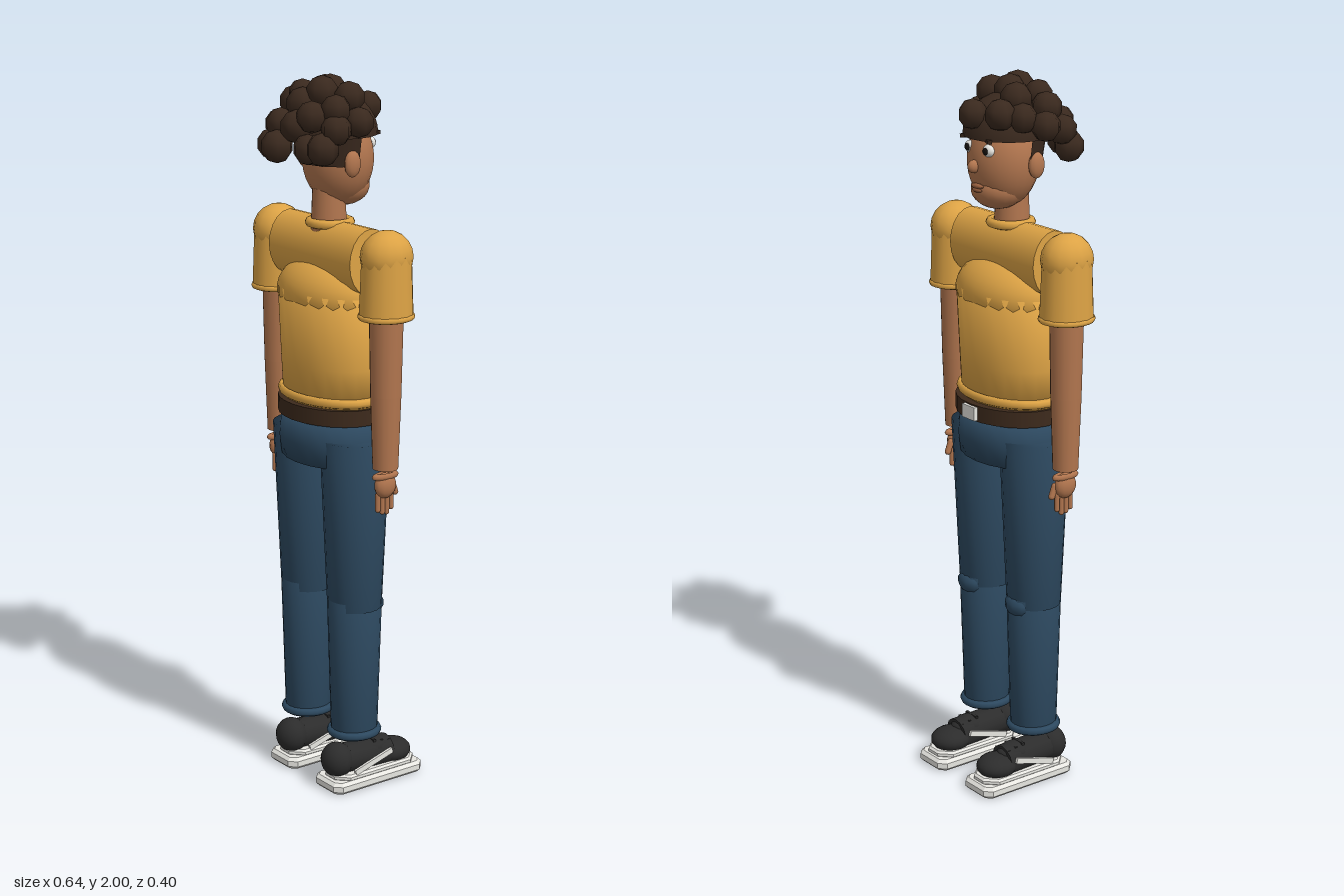
import * as THREE from 'three';

const mat = (name, color, side = THREE.FrontSide) => {
  const m = new THREE.MeshStandardMaterial({ color, side });
  m.name = name;
  return m;
};

export function createModel() {
  const model = new THREE.Group();
  model.name = 'standingMan';
  const skin = mat('skin', 0xb2764f), lip = mat('lip', 0x98603f);
  const shirt = mat('shirt', 0xdda345), denim = mat('denim', 0x2d4960);
  const hair = mat('hair', 0x3a291e, THREE.DoubleSide), belt = mat('belt', 0x3d2a1c);
  const black = mat('shoeBlack', 0x2c2c2c), white = mat('white', 0xe8e7e2);
  const dark = mat('pupil', 0x15110f);

  const add = (name, geo, material, x, y, z, parent = model) => {
    const m = new THREE.Mesh(geo, material);
    m.name = name;
    m.position.set(x, y, z);
    parent.add(m);
    return m;
  };
  const ball = (name, material, p, r, parent = model, seg = 16) => {
    const m = add(name, new THREE.SphereGeometry(1, seg, Math.ceil(seg * 0.7)), material, ...p, parent);
    m.scale.set(...r);
    return m;
  };
  // closed soft-edged solid of revolution from [radius, y] rings, squashed in z
  const solid = (name, material, rings, x, z, depth, parent = model) => {
    const pts = [[0, rings[0][1]], ...rings, [0, rings.at(-1)[1]]];
    const geo = new THREE.LatheGeometry(pts.map(p => new THREE.Vector2(...p)), 20);
    const m = add(name, geo, material, x, 0, z, parent);
    m.scale.z = depth;
    return m;
  };
  const ring = (name, material, r, t, x, y, z, depth = 1, parent = model) => {
    const geo = new THREE.TorusGeometry(r, t, 8, 24).rotateX(Math.PI / 2);
    const m = add(name, geo, material, x, y, z, parent);
    m.scale.z = depth;
    return m;
  };
  // bevelled slab with clipped corners, lying flat
  const slab = (w, l, h, cut, bevel) => {
    const a = w / 2 - bevel, b = l / 2 - bevel;
    const s = new THREE.Shape([[a, b - cut], [a - cut, b], [cut - a, b], [-a, b - cut],
      [-a, cut - b], [cut - a, -b], [a - cut, -b], [a, cut - b]].map(p => new THREE.Vector2(...p)));
    return new THREE.ExtrudeGeometry(s, { depth: h - 2 * bevel, bevelThickness: bevel, bevelSize: bevel, bevelSegments: 1 })
      .translate(0, 0, bevel - h / 2).rotateX(-Math.PI / 2);
  };

  // torso
  solid('torso', shirt, [[0.165, 1.11], [0.172, 1.22], [0.183, 1.42]], 0, 0.005, 0.68);
  ball('chest', shirt, [0, 1.41, 0.005], [0.183, 0.105, 0.125], model, 24);
  const yoke = add('shoulderYoke', new THREE.CylinderGeometry(0.09, 0.09, 0.37, 20).rotateZ(Math.PI / 2), shirt, 0, 1.52, 0.01);
  yoke.scale.z = 0.78;
  ring('shirtHem', shirt, 0.167, 0.013, 0, 1.13, 0.005, 0.7);
  ring('collar', shirt, 0.055, 0.013, 0, 1.602, 0.008);
  add('neck', new THREE.CylinderGeometry(0.045, 0.05, 0.13, 16), skin, 0, 1.63, 0.012);

  // belt and pelvis
  const band = add('belt', new THREE.CylinderGeometry(0.173, 0.173, 0.045, 24), belt, 0, 1.09, 0.003);
  band.scale.z = 0.77;
  add('buckle', new THREE.BoxGeometry(0.055, 0.038, 0.012), white, 0, 1.09, -0.132);
  solid('pelvis', denim, [[0.168, 0.945], [0.176, 1.0], [0.168, 1.07]], 0, 0.005, 0.71);

  for (const s of [-1, 1]) {
    const side = s > 0 ? 'left' : 'right';
    // leg
    const leg = new THREE.Group();
    leg.name = side + 'Leg';
    leg.position.x = s * 0.11;
    model.add(leg);
    solid('thigh', denim, [[0.076, 0.535], [0.097, 1.02]], 0, 0.005, 1, leg);
    solid('shin', denim, [[0.062, 0.15], [0.073, 0.56]], 0, 0.005, 1.08, leg);
    ball('knee', denim, [0, 0.538, -0.045], [0.05, 0.035, 0.038], leg, 10);
    ring('trouserCuff', denim, 0.063, 0.012, 0, 0.164, 0.005, 1.05, leg);

    // shoe
    const shoe = new THREE.Group();
    shoe.name = side + 'Shoe';
    shoe.position.x = s * 0.11;
    model.add(shoe);
    add('sole', slab(0.124, 0.313, 0.034, 0.015, 0.009), white, 0, 0.017, -0.048, shoe);
    add('midsole', slab(0.11, 0.28, 0.02, 0.03, 0.006), white, 0, 0.04, -0.05, shoe);
    ball('heel', black, [0, 0.084, 0.065], [0.05, 0.05, 0.045], shoe);
    const upper = add('upper', new THREE.CylinderGeometry(0.047, 0.043, 0.17, 14).rotateX(-Math.PI / 2), black, 0, 0.078, -0.02, shoe);
    upper.rotation.x = -0.06;
    ball('toe', black, [0, 0.068, -0.125], [0.056, 0.034, 0.06], shoe);
    ball('tongue', black, [0, 0.095, -0.06], [0.04, 0.028, 0.06], shoe, 12);
    for (const f of [-1, 1]) {
      const stripe = add('sideStripe', new THREE.BoxGeometry(0.008, 0.016, 0.135), white, f * 0.049, 0.071, -0.028, shoe);
      stripe.rotation.x = 0.28;
      for (const z of [-0.075, -0.115]) ball('eyelet', white, [f * 0.022, 0.106 + (z + 0.075) * 0.3, z], [0.004, 0.004, 0.004], shoe, 6);
    }
    for (const z of [-0.05, -0.075, -0.1]) {
      add('lace', new THREE.BoxGeometry(0.05, 0.008, 0.008), black, 0, 0.119 + (z + 0.05) * 0.2, z, shoe);
    }

    // arm
    const arm = new THREE.Group();
    arm.name = side + 'Arm';
    arm.position.set(s * 0.246, 0, 0.005);
    model.add(arm);
    ball('shoulder', shirt, [0, 1.545, 0], [0.066, 0.071, 0.074], arm, 14);
    add('sleeve', new THREE.CylinderGeometry(0.065, 0.071, 0.17, 14), shirt, 0, 1.465, 0, arm).scale.z = 1.06;
    ring('sleeveHem', shirt, 0.065, 0.009, 0, 1.386, 0, 1.06, arm);
    add('upperArm', new THREE.CylinderGeometry(0.047, 0.042, 0.25, 16), skin, 0, 1.295, 0, arm);
    add('forearm', new THREE.CylinderGeometry(0.042, 0.035, 0.205, 16), skin, 0, 1.068, 0, arm);

    // hand: flat palm, four fingers and a thumb
    ball('palm', skin, [0, 0.918, 0], [0.021, 0.036, 0.034], arm, 12);
    ring('wrist', skin, 0.02, 0.009, 0, 0.945, 0, 1.5, arm).scale.x = 0.6;
    for (let i = 0; i < 4; i++) {
      const len = [0.04, 0.052, 0.05, 0.042][i];
      add('finger', new THREE.CapsuleGeometry(0.0075, len, 4, 8), skin, -s * 0.005, 0.892 - len / 2, -0.024 + i * 0.015, arm);
    }
    const thumb = add('thumb', new THREE.CapsuleGeometry(0.009, 0.03, 4, 8), skin, -s * 0.008, 0.905, -0.035, arm);
    thumb.rotation.x = 0.35;
  }

  // head
  const head = new THREE.Group();
  head.name = 'head';
  model.add(head);
  ball('skull', skin, [0, 1.775, -0.018], [0.102, 0.128, 0.095], head, 24);
  ball('jaw', skin, [0, 1.7, -0.035], [0.075, 0.056, 0.073], head, 18);
  ball('nose', skin, [0, 1.767, -0.116], [0.014, 0.018, 0.018], head, 12);
  ball('upperLip', lip, [0, 1.713, -0.104], [0.026, 0.007, 0.01], head, 10);
  ball('lowerLip', lip, [0, 1.702, -0.102], [0.022, 0.007, 0.01], head, 10);
  for (const s of [-1, 1]) {
    ball('ear', skin, [s * 0.106, 1.772, 0.012], [0.015, 0.036, 0.025], head, 12);
    ball('eye', white, [s * 0.04, 1.812, -0.096], [0.02, 0.017, 0.013], head, 12);
    ball('pupil', dark, [s * 0.04, 1.812, -0.107], [0.01, 0.01, 0.005], head, 10);
    const brow = add('eyebrow', new THREE.BoxGeometry(0.045, 0.01, 0.012), hair, s * 0.042, 1.842, -0.102, head);
    brow.rotation.set(0, s * 0.35, -s * 0.1);
  }

  // hair: cap, nape and curls
  const cap = add('hairCap', new THREE.SphereGeometry(1, 20, 8, 0, Math.PI * 2, 0, Math.PI / 2), hair, 0, 1.84, -0.004, head);
  cap.scale.set(0.122, 0.115, 0.118);
  const nape = add('hairNape', new THREE.CylinderGeometry(0.118, 0.104, 0.085, 16, 1, true, -Math.PI / 2, Math.PI), hair, 0, 1.806, -0.01, head);
  nape.scale.z = 0.88;
  const curls = [
    [0.008, 1.905, -0.112], [-0.07, 1.91, -0.08], [-0.06, 1.945, -0.02], [-0.142, 1.88, 0.015],
    [-0.107, 1.81, 0.12], [-0.033, 1.815, 0.158], [-0.045, 1.945, 0.065], [0.08, 1.945, 0.005],
    [0.03, 1.957, 0.055], [0.11, 1.92, 0.07], [0.065, 1.9, 0.115], [0.112, 1.82, 0.115],
    [0.13, 1.885, 0.01], [-0.1, 1.92, 0.05], [-0.01, 1.925, 0.09], [0.06, 1.815, 0.125],
    [-0.06, 1.87, 0.125], [0.01, 1.87, 0.125], [-0.115, 1.86, 0.09], [0.125, 1.87, 0.08],
    [0.005, 1.955, 0.01], [-0.1, 1.9, -0.03],
  ];
  curls.forEach((p, i) => {
    const r = 0.041 + (i % 3) * 0.002;
    ball('curl', hair, p, [r, r, r], head, 7).rotation.y = i * 0.7;
  });
  return model;
}
